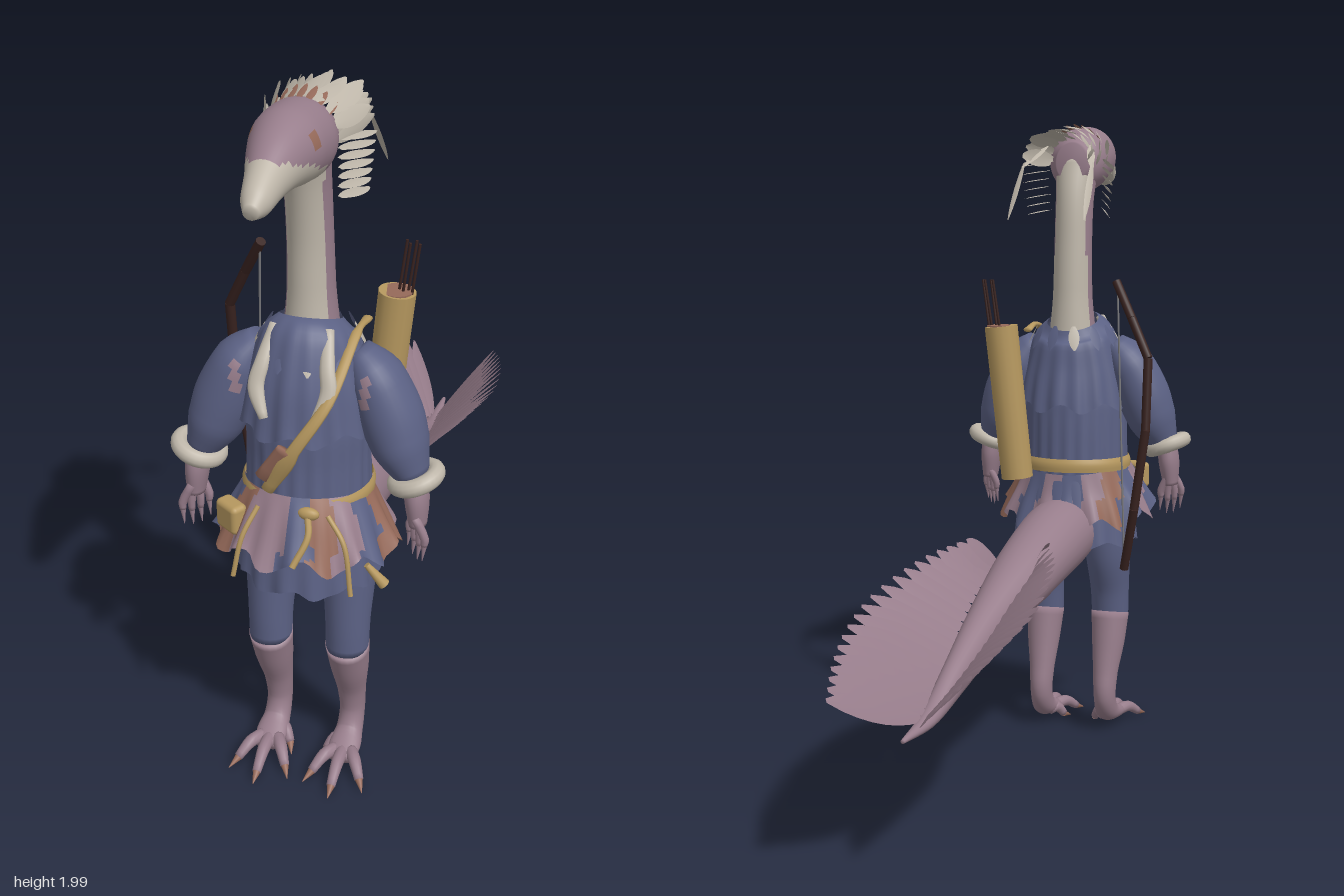
import * as THREE from 'three';
import { mergeGeometries } from 'three/addons/utils/BufferGeometryUtils.js';
import { RoundedBoxGeometry } from 'three/addons/geometries/RoundedBoxGeometry.js';

const V = (x, y, z) => new THREE.Vector3(x, y, z);

function mat(name, color) {
  const m = new THREE.MeshStandardMaterial({ color, side: THREE.DoubleSide });
  m.name = name;
  return m;
}

export function createModel() {
  const root = new THREE.Group();
  const mauve = mat('mauve', 0x977d8b), blue = mat('blue cloth', 0x5b6184), bone = mat('bone', 0xbfb7aa);
  const ochre = mat('ochre leather', 0xb6985f), brown = mat('russet', 0x966a5a), dark = mat('dark wood', 0x38221f);
  const grey = mat('string grey', 0x77777a);

  function add(name, geo, material) {
    const m = new THREE.Mesh(geo, material);
    m.name = name;
    root.add(m);
    return m;
  }

  // Smooth skin over elliptical sections [x, y, z, half width, half depth];
  // paint(point) picks a material index, mod(angle, s) returns [radius scale, y shift]
  function loft(name, rings, mats, { n = 16, seg = 24, paint = () => 0, mod, cap = true } = {}) {
    const path = new THREE.CatmullRomCurve3(rings.map(r => V(r[0], r[1], r[2])));
    const size = new THREE.CatmullRomCurve3(rings.map(r => V(r[3], r[4], 0)));
    const pts = [], list = [].concat(mats), faces = list.map(() => []);
    for (let i = 0; i <= n; i++) {
      const s = i / n, p = path.getPoint(s), r = size.getPoint(s), t = path.getTangent(s);
      const u = V(1, 0, 0).addScaledVector(t, -t.x).normalize(), v = t.clone().cross(u);
      for (let j = 0; j < seg; j++) {
        const a = j / seg * Math.PI * 2, [k, dy] = mod ? mod(a, s) : [1, 0];
        const q = p.clone().addScaledVector(u, r.x * k * Math.cos(a)).addScaledVector(v, r.y * k * Math.sin(a));
        q.y += dy;
        pts.push(q);
      }
    }
    for (let i = 0; i < n; i++) for (let j = 0; j < seg; j++) {
      const k = (j + 1) % seg, a = i * seg + j, b = i * seg + k, c = a + seg, d = b + seg;
      const mid = pts[a].clone().add(pts[d]).multiplyScalar(0.5);
      faces[paint(mid)].push(a, b, c, b, d, c);
    }
    if (cap) for (const end of [0, n]) {
      pts.push(path.getPoint(end / n));
      for (let j = 0; j < seg; j++) {
        const a = end * seg + j, b = end * seg + (j + 1) % seg;
        faces[paint(pts[a])].push(pts.length - 1, end ? a : b, end ? b : a);
      }
    }
    const g = new THREE.BufferGeometry().setFromPoints(pts);
    g.setIndex(faces.flat());
    let start = 0;
    faces.forEach((f, i) => { g.addGroup(start, f.length, i); start += f.length; });
    g.computeVertexNormals();
    return add(name, g, list);
  }

  // Leaf-shaped feather, slightly ridged and tilted so that neighbours overlap
  function feather(base, tip, normal, width, tilt = 0.2) {
    const dir = tip.clone().sub(base), pts = [], idx = [], rows = 7;
    const side = dir.clone().cross(normal).normalize().addScaledVector(normal, tilt);
    for (let i = 0; i <= rows; i++) {
      const s = i / rows, w = width / 2 * Math.pow(Math.sin(Math.PI * (0.06 + 0.92 * s)), 0.7);
      for (const k of [-1, 0, 1])
        pts.push(base.clone().addScaledVector(dir, s).addScaledVector(side, w * k).addScaledVector(normal, k ? 0 : w * 0.15));
      if (i) for (const k of [0, 1]) {
        const a = i * 3 + k, b = a - 3;
        idx.push(b, b + 1, a, b + 1, a + 1, a);
      }
    }
    const g = new THREE.BufferGeometry().setFromPoints(pts);
    g.setIndex(idx);
    g.computeVertexNormals();
    return g;
  }

  const tube = (name, pts, r, m) =>
    add(name, new THREE.TubeGeometry(new THREE.CatmullRomCurve3(pts), 24, r, 8), m);
  function rod(name, a, b, r, m, r2 = r) {
    const mesh = add(name, new THREE.CylinderGeometry(r2, r, a.distanceTo(b), 16), m);
    mesh.position.copy(a).lerp(b, 0.5);
    mesh.quaternion.setFromUnitVectors(V(0, 1, 0), b.clone().sub(a).normalize());
  }

  // Head, neck and eye patches
  loft('head', [[0, 1.87, 0.5, 0.05, 0.06], [0, 1.868, 0.55, 0.085, 0.09], [0, 1.88, 0.62, 0.098, 0.102],
    [0, 1.89, 0.7, 0.093, 0.098], [0, 1.885, 0.78, 0.073, 0.08], [0, 1.865, 0.86, 0.05, 0.057],
    [0, 1.842, 0.93, 0.036, 0.04], [0, 1.832, 0.968, 0.018, 0.018]], [mauve, bone, brown], {
    n: 40, seg: 40, paint: p => p.z > 0.88 || (p.z > 0.64 && p.y < 1.87 + (p.z - 0.75) * 0.4) ? 1
      : Math.abs(p.z - 0.73) < 0.018 && Math.abs(p.y - 1.925) < 0.016 ? 2 : 0 });
  loft('neck', [[0, 1.28, 0.525, 0.08, 0.085], [0, 1.45, 0.522, 0.063, 0.07], [0, 1.6, 0.525, 0.06, 0.066],
    [0, 1.75, 0.54, 0.06, 0.07], [0, 1.87, 0.57, 0.07, 0.07]], [bone, mauve], {
    n: 24, seg: 32, paint: p => Math.abs(p.z - 0.528 - Math.max(0, p.y - 1.65) * 0.12) < 0.035 ? 1 : 0 });

  // Crest plumes, cheek feathers and crown spikes
  const plumes = [], spikes = [];
  for (let row = 0; row < 3; row++) for (let i = -4; i <= 4; i++) {
    const a = i / 4 * 1.75, n = V(Math.sin(a), Math.cos(a), 0.15);
    const up = 1.89 + (0.088 - row * 0.018) * Math.cos(a), out = 1 - row * 0.12;
    plumes.push(feather(V(0.088 * out * Math.sin(a), up, 0.59 - row * 0.035),
      V(0.14 * out * Math.sin(a), 1.9 + 0.075 * out * Math.cos(a), 0.42 - row * 0.05 + (i & 1) * 0.03), n, 0.045));
  }
  for (const s of [1, -1]) {
    for (let i = 0; i < 7; i++) plumes.push(feather(V(s * 0.09, 1.87 - i * 0.025, 0.565),
      V(s * (0.15 - i * 0.003), 1.855 - i * 0.025, 0.445), V(s * 0.5, 0.85, 0), 0.04, 0.4));
    const mid = V(s * 0.11, 1.85, 0.33);
    plumes.push(feather(V(s * 0.07, 1.92, 0.47), mid, V(0, 1, 0), 0.025), feather(mid.clone().add(V(0, 0.015, 0.02)), V(s * 0.12, 1.69, 0.215), V(s * 0.6, 0.6, -0.5), 0.024));
  }
  for (let i = -3; i <= 3; i++)
    spikes.push(feather(V(i * 0.022, 1.975 - i * i * 0.004, 0.61), V(i * 0.025, 1.99 - i * i * 0.004, 0.53), V(i * 0.2, 1, 0), 0.02));
  add('crestFeathers', mergeGeometries(plumes), bone);
  add('crownSpikes', mergeGeometries(spikes), brown);

  // Tunic, pleated capelet and ragged skirts
  const pleats = (count, amp, hem) => (a, s) => [1 + amp * s * Math.sin(a * count), hem * s * s * Math.cos(a * count * 0.5)];
  loft('tunic', [[0, 1.25, 0.56, 0.13, 0.12], [0, 1.1, 0.57, 0.165, 0.145], [0, 1, 0.57, 0.165, 0.15], [0, 0.86, 0.575, 0.168, 0.16]],
    blue, { seg: 96, mod: pleats(22, 0.025, 0) });
  loft('capelet', [[0, 1.37, 0.525, 0.082, 0.088], [0, 1.33, 0.54, 0.128, 0.13], [0, 1.22, 0.558, 0.162, 0.16], [0, 1.1, 0.562, 0.182, 0.182]],
    blue, { seg: 96, cap: false, mod: pleats(16, 0.03, 0.015) });
  const patches = [0, 1, 2, 0, 1, 0, 2, 1, 1, 0, 2, 1, 0, 2, 2, 1, 0, 1];
  loft('patchSkirt', [[0, 0.91, 0.57, 0.17, 0.165], [0, 0.83, 0.585, 0.21, 0.195], [0, 0.745, 0.597, 0.25, 0.228]], [blue, mauve, brown], {
    seg: 108, cap: false, mod: pleats(18, 0.045, 0.025),
    paint: p => patches[(Math.floor((Math.atan2(p.x, p.z - 0.59) / Math.PI + 1) * 9 + (p.y < 0.8 ? 0.4 : 0)) + 18) % 18] });
  loft('underSkirt', [[0, 0.86, 0.57, 0.17, 0.165], [0, 0.75, 0.57, 0.19, 0.185], [0, 0.65, 0.57, 0.2, 0.198]],
    blue, { seg: 96, cap: false, mod: pleats(16, 0.03, 0.012) });
  loft('hips', [[0, 0.85, 0.57, 0.16, 0.15], [0, 0.7, 0.57, 0.165, 0.13], [0, 0.6, 0.57, 0.06, 0.06]], blue);
  loft('belt', [[0, 0.93, 0.572, 0.173, 0.163], [0, 0.91, 0.572, 0.18, 0.17], [0, 0.888, 0.572, 0.178, 0.168]], ochre, { n: 4, seg: 48, cap: false });

  // Collar points round the shoulders
  const points = [];
  for (let i = 0; i < 12; i++) {
    const a = (i + 0.5) / 12 * Math.PI * 2, x = Math.sin(a), z = Math.cos(a);
    points.push(feather(V(x * 0.115, 1.355, 0.54 + z * 0.118), V(x * 0.155, 1.28, 0.55 + z * 0.155), V(x * 0.8, 0.5, z * 0.8), 0.035, 0));
  }
  add('collarPoints', mergeGeometries(points.filter((g, i) => i % 3)), blue);
  add('paleCollarPoints', mergeGeometries(points.filter((g, i) => i % 3 === 0)), bone);

  for (const s of [1, -1]) {
    // Collar strip
    loft('collarStrip', [[s * 0.07, 1.375, 0.61, 0.016, 0.012], [s * 0.085, 1.3, 0.675, 0.02, 0.012],
      [s * 0.095, 1.24, 0.705, 0.022, 0.012], [s * 0.065, 1.17, 0.74, 0.012, 0.01]], bone, { seg: 12 });
    // Sleeve, fur cuff and hand
    loft('sleeve', [[s * 0.13, 1.3, 0.55, 0.035, 0.045], [s * 0.18, 1.235, 0.56, 0.072, 0.085], [s * 0.225, 1.13, 0.57, 0.085, 0.092],
      [s * 0.255, 1.05, 0.58, 0.077, 0.088], [s * 0.295, 0.965, 0.595, 0.042, 0.052]], [blue, mauve], {
      seg: 32, paint: p => p.y > 1.18 && p.y < 1.27 && Math.abs(p.x) > 0.16 && Math.abs(p.x) < 0.19 && p.z > 0.5 ? 1 : 0 });
    const cuff = add('furCuff', new THREE.TorusGeometry(0.056, 0.024, 12, 32).rotateX(Math.PI / 2), bone);
    cuff.position.set(s * 0.3, 0.967, 0.597);
    cuff.rotation.z = s * 0.35;
    loft('hand', [[s * 0.298, 0.98, 0.597, 0.03, 0.03], [s * 0.305, 0.91, 0.605, 0.033, 0.045], [s * 0.31, 0.835, 0.61, 0.024, 0.036]], mauve);
    for (let i = 0; i < 4; i++) {
      const z = 0.582 + i * 0.02, x = s * (0.31 + (i - 1.5) * 0.018), end = 0.775 + Math.abs(i - 1.5) * 0.012;
      loft('finger', [[s * 0.31, 0.87, z, 0.012, 0.013], [x, 0.815, z + 0.006, 0.012, 0.012], [x, end, z + 0.008, 0.009, 0.009]], mauve, { n: 6, seg: 10 });
      rod('fingerClaw', V(x, end, z + 0.008), V(x - s * 0.004, end - 0.045, z + 0.012), 0.008, mauve, 0.001);
    }
    // Trouser leg, shin and foot
    loft('trouserLeg', [[s * 0.105, 0.74, 0.565, 0.08, 0.09], [s * 0.11, 0.6, 0.575, 0.073, 0.085], [s * 0.112, 0.48, 0.595, 0.063, 0.068],
      [s * 0.112, 0.38, 0.603, 0.06, 0.06]], blue);
    loft('shin', [[s * 0.112, 0.395, 0.602, 0.062, 0.066], [s * 0.112, 0.3, 0.58, 0.054, 0.056], [s * 0.11, 0.2, 0.553, 0.041, 0.043],
      [s * 0.11, 0.12, 0.545, 0.036, 0.043], [s * 0.11, 0.065, 0.575, 0.038, 0.038], [s * 0.11, 0.045, 0.63, 0.046, 0.026],
      [s * 0.11, 0.035, 0.68, 0.035, 0.018]], mauve, { n: 24 });
    for (const [x, z] of [[0.04, 0.73], [0.11, 0.775], [0.18, 0.73], [0.055, 0.63]]) {
      const x0 = 0.11 + (x - 0.11) * 0.3, z0 = z < 0.7 ? 0.59 : 0.645;
      loft('toe', [[s * x0, 0.042, z0, 0.02, 0.02], [s * (x0 + x) / 2, 0.045, (z0 + z) / 2, 0.018, 0.018],
        [s * x, 0.018, z, 0.013, 0.013]], mauve, { n: 8, seg: 12 });
      rod('toeClaw', V(s * x, 0.017, z), V(s * (x + (x - 0.11) * 0.25), 0.003, z + 0.035), 0.011, brown, 0.001);
    }
  }

  // Tail with two feather fans raised in a V
  loft('tail', [[0, 0.7, 0.56, 0.1, 0.09], [0.01, 0.685, 0.38, 0.115, 0.115], [0.025, 0.628, 0.1, 0.1, 0.1], [0.05, 0.535, -0.2, 0.063, 0.072],
    [0.06, 0.447, -0.45, 0.04, 0.05], [0.065, 0.385, -0.65, 0.026, 0.022], [0.065, 0.382, -0.83, 0.006, 0.006]], mauve, { n: 32 });
  const roots = new THREE.CatmullRomCurve3([V(0.06, 0.64, 0.13), V(0.045, 0.58, -0.1), V(0.03, 0.5, -0.3), V(0.02, 0.44, -0.5), V(0.01, 0.4, -0.68)]);
  const tips = new THREE.CatmullRomCurve3([V(0.125, 0.73, 0.02), V(0.185, 0.715, -0.09), V(0.225, 0.69, -0.27), V(0.245, 0.65, -0.48),
    V(0.225, 0.61, -0.68), V(0.19, 0.565, -0.84), V(0.145, 0.52, -0.975)]);
  for (const s of [1, -1]) {
    const fan = [];
    for (let i = 0; i < 20; i++) {
      const a = roots.getPoint(i / 19), b = tips.getPoint(i / 19);
      a.x = 0.065 + s * a.x;
      b.x = 0.065 + s * b.x;
      fan.push(feather(a, b, V(-s * 0.62, 0.78, 0), 0.085, s * 0.22));
    }
    add('tailFan', mergeGeometries(fan), mauve);
  }

  // Quiver and arrows
  const low = V(0.125, 0.88, 0.325), top = V(0.175, 1.36, 0.315);
  rod('quiver', low, top, 0.05, ochre, 0.052);
  rod('quiverMouth', top.clone().add(V(0, -0.002, 0)), top.clone().add(V(0, 0.003, 0)), 0.044, brown);
  for (let i = 0; i < 4; i++)
    rod('arrow', V(0.16 + i * 0.012, 1.22, 0.315), V(0.197 + i * 0.013, 1.505, 0.3 + (i % 2) * 0.02), 0.004, dark);

  // Bow slung on the back
  const bow = [V(-0.175, 1.5, 0.4), V(-0.235, 1.39, 0.36), V(-0.295, 1.27, 0.33), V(-0.295, 1.05, 0.305), V(-0.26, 0.8, 0.31), V(-0.22, 0.6, 0.35)];
  for (let i = 0; i < bow.length - 1; i++) rod('bowLimb', bow[i], bow[i + 1], 0.014, dark);
  rod('bowString', V(-0.18, 1.48, 0.397), V(-0.22, 0.62, 0.35), 0.003, grey);

  // Straps, pouch and belt ties
  loft('chestStrap', [[0.13, 1.34, 0.45, 0.014, 0.008], [0.13, 1.35, 0.56, 0.014, 0.008], [0.1, 1.23, 0.715, 0.015, 0.008],
    [0.02, 1.1, 0.765, 0.017, 0.008], [-0.06, 0.96, 0.745, 0.017, 0.008]], ochre, { n: 24, seg: 10 });
  loft('strapFlap', [[0, 1.1, 0.765, 0.025, 0.01], [-0.07, 1.0, 0.75, 0.022, 0.01]], brown, { n: 4, seg: 10 });
  const pouch = add('pouch', new RoundedBoxGeometry(0.085, 0.085, 0.05, 3, 0.015), ochre);
  pouch.position.set(-0.172, 0.845, 0.715);
  pouch.rotation.y = -0.6;
  const knot = add('beltKnot', new THREE.SphereGeometry(0.02, 16, 12), ochre);
  knot.position.set(0.05, 0.905, 0.745);
  knot.scale.set(1.5, 0.9, 0.8);
  tube('beltTie', [V(0.05, 0.9, 0.75), V(0.06, 0.86, 0.785), V(0.03, 0.79, 0.83)], 0.009, ochre);
  tube('beltTie', [V(0.1, 0.9, 0.735), V(0.15, 0.84, 0.765), V(0.175, 0.7, 0.79)], 0.007, ochre);
  tube('beltTie', [V(-0.09, 0.9, 0.735), V(-0.12, 0.83, 0.785), V(-0.14, 0.72, 0.81)], 0.007, ochre);
  rod('tassel', V(0.205, 0.77, 0.74), V(0.25, 0.71, 0.73), 0.008, ochre, 0.016);

  return root;
}
